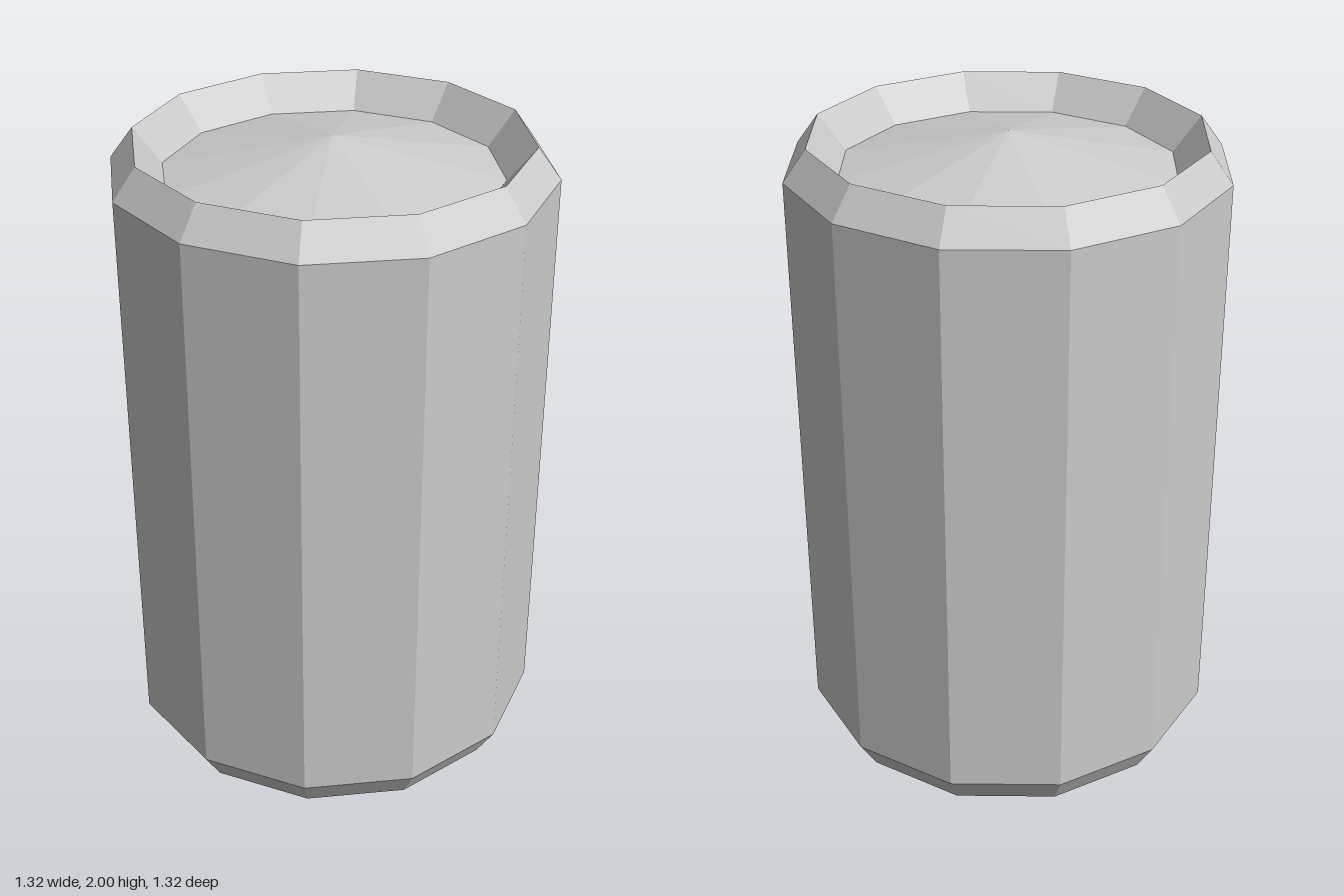
import * as THREE from 'three';

const SIDES = 12;

// Revolves a [radius, height] profile, listed from bottom to top along the outside.
function turned(name, profile, material) {
  const points = profile.map(([r, y]) => new THREE.Vector2(r, y));
  const mesh = new THREE.Mesh(new THREE.LatheGeometry(points, SIDES), material);
  mesh.name = name;
  return mesh;
}

export function createModel() {
  const group = new THREE.Group();
  group.name = 'can';
  const material = new THREE.MeshStandardMaterial({ color: 0xcccccc, flatShading: true });

  group.add(
    // Hollow cone under the can
    turned('base', [[0, 0.26], [0.6, 0]], material),
    // Chamfer around the foot
    turned('bottomChamfer', [[0.6, 0], [0.66, 0.1]], material),
    // Straight wall
    turned('body', [[0.66, 0.1], [0.66, 1.9]], material),
    // Rim: outer chamfer, then the slope down into the lid recess
    turned('rim', [[0.66, 1.9], [0.59, 1.995], [0.505, 1.89]], material),
    // Lid rising to a point in the middle
    turned('lid', [[0.505, 1.89], [0, 2]], material),
  );
  return group;
}
